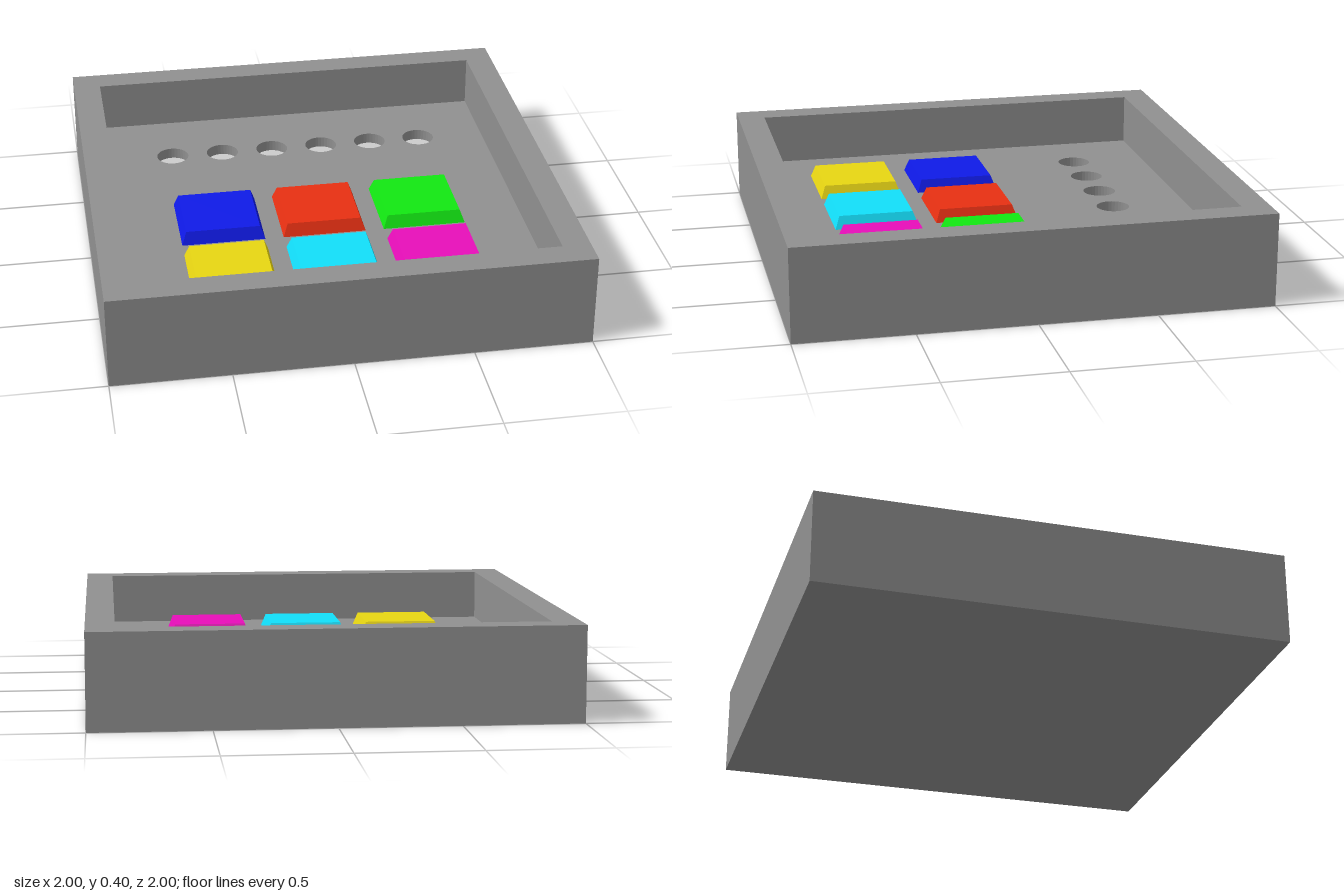
import * as THREE from 'three';

const HEIGHT = 0.4, DECK = 0.18, INNER = 0.88, WELL_DEPTH = 0.05;
const HOLE_Z = -0.55, HOLE_R = 0.072;
const holeXs = [0, 1, 2, 3, 4, 5].map(i => -0.578 + i * 0.2312);

function addPart(group, name, geometry, color) {
  const material = new THREE.MeshStandardMaterial({ color, flatShading: true });
  const mesh = new THREE.Mesh(geometry, material);
  mesh.name = name;
  group.add(mesh);
  return mesh;
}

// Square tray: a wall profile turned in four steps
function trayGeometry() {
  const profile = [[0, 0], [1, 0], [1, HEIGHT], [INNER, HEIGHT], [INNER, DECK - WELL_DEPTH]]
    .map(([r, y]) => new THREE.Vector2(r * Math.SQRT2, y));
  const geometry = new THREE.LatheGeometry(profile, 4, Math.PI / 4).toNonIndexed();
  geometry.computeVertexNormals();
  return geometry;
}

// Recessed deck with a row of round holes
function deckGeometry() {
  const shape = new THREE.Shape([
    new THREE.Vector2(-INNER, -INNER), new THREE.Vector2(INNER, -INNER),
    new THREE.Vector2(INNER, INNER), new THREE.Vector2(-INNER, INNER),
  ]);
  for (const x of holeXs) {
    shape.holes.push(new THREE.Path().absarc(x, -HOLE_Z, HOLE_R, 0, Math.PI * 2, true));
  }
  return new THREE.ExtrudeGeometry(shape, { depth: WELL_DEPTH, bevelEnabled: false, curveSegments: 16 })
    .rotateX(-Math.PI / 2)
    .translate(0, DECK - WELL_DEPTH, 0);
}

export function createModel() {
  const model = new THREE.Group();
  model.name = 'buttonPanel';
  addPart(model, 'tray', trayGeometry(), 0x909090);
  addPart(model, 'deck', deckGeometry(), 0x909090);

  // Pale discs at the bottom of the holes
  for (const x of holeXs) {
    const disc = addPart(model, 'indicatorDisc',
      new THREE.CircleGeometry(HOLE_R, 32).rotateX(-Math.PI / 2), 0xcccccc);
    disc.position.set(x, DECK - WELL_DEPTH + 0.002, HOLE_Z);
  }

  // Two rows of tapered square buttons
  const rows = [
    { z: 0.08, buttons: [['blueButton', 0x0f1ae8], ['redButton', 0xe83012], ['greenButton', 0x12e812]] },
    { z: 0.52, buttons: [['yellowButton', 0xe8d612], ['cyanButton', 0x12dffa], ['magentaButton', 0xe80eba]] },
  ];
  const buttonHeight = 0.055;
  for (const { z, buttons } of rows) {
    buttons.forEach(([name, color], i) => {
      const geometry = new THREE.CylinderGeometry(
        0.16 * Math.SQRT2, 0.18 * Math.SQRT2, buttonHeight, 4, 1, false, Math.PI / 4);
      addPart(model, name, geometry, color)
        .position.set((i - 1) * 0.44, DECK + buttonHeight / 2, z);
    });
  }
  return model;
}
